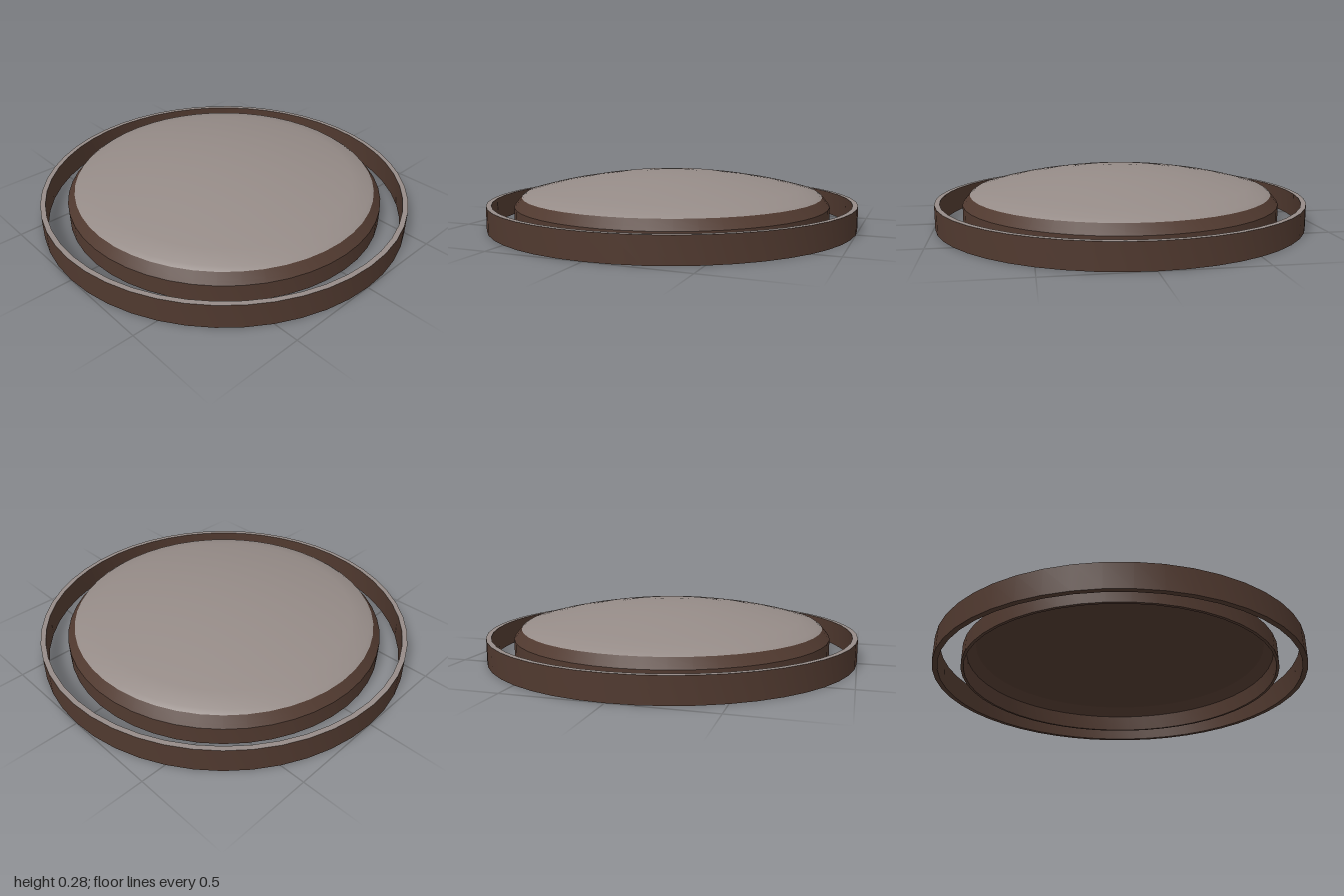
import * as THREE from 'three';
import { toCreasedNormals } from 'three/addons/utils/BufferGeometryUtils.js';

const SEGMENTS = 48;

const brown = new THREE.MeshStandardMaterial({ color: 0x50392f });
brown.name = 'dark brown';
const grey = new THREE.MeshStandardMaterial({ color: 0x958b87 });
grey.name = 'warm grey';

// Revolve [radius, height] points; a profile running upward faces outward
function turned(name, points, material) {
  const profile = points.map(([r, y]) => new THREE.Vector2(r, y));
  const geometry = toCreasedNormals(new THREE.LatheGeometry(profile, SEGMENTS), 0.4);
  const mesh = new THREE.Mesh(geometry, material);
  mesh.name = name;
  return mesh;
}

export function createModel() {
  const model = new THREE.Group();
  model.name = 'domedDiscWithRing';

  // Free-standing outer band with a pale upper edge
  const outerRing = new THREE.Group();
  outerRing.name = 'outerRing';
  outerRing.add(
    turned('ringBand', [[0.973, 0.13], [0.973, 0], [1, 0], [1, 0.13]], brown),
    turned('ringTopEdge', [[1, 0.13], [0.973, 0.13]], grey)
  );

  // Hollow domed disc: outer wall and shoulder, pale top, open underside
  const disc = new THREE.Group();
  disc.name = 'disc';
  disc.add(
    turned('discRim', [
      [0.842, 0.02], [0.857, 0.02], [0.857, 0.115], [0.843, 0.132], [0.817, 0.163],
    ], brown),
    turned('discDome', [
      [0.817, 0.163], [0.795, 0.178], [0.7, 0.203], [0.6, 0.225], [0.45, 0.251],
      [0.3, 0.271], [0.15, 0.282], [0, 0.285],
    ], grey),
    turned('discUnderside', [
      [0, 0.27], [0.15, 0.267], [0.3, 0.256], [0.45, 0.236], [0.6, 0.21],
      [0.7, 0.188], [0.79, 0.16], [0.835, 0.11], [0.842, 0.02],
    ], brown)
  );

  model.add(outerRing, disc);
  return model;
}
